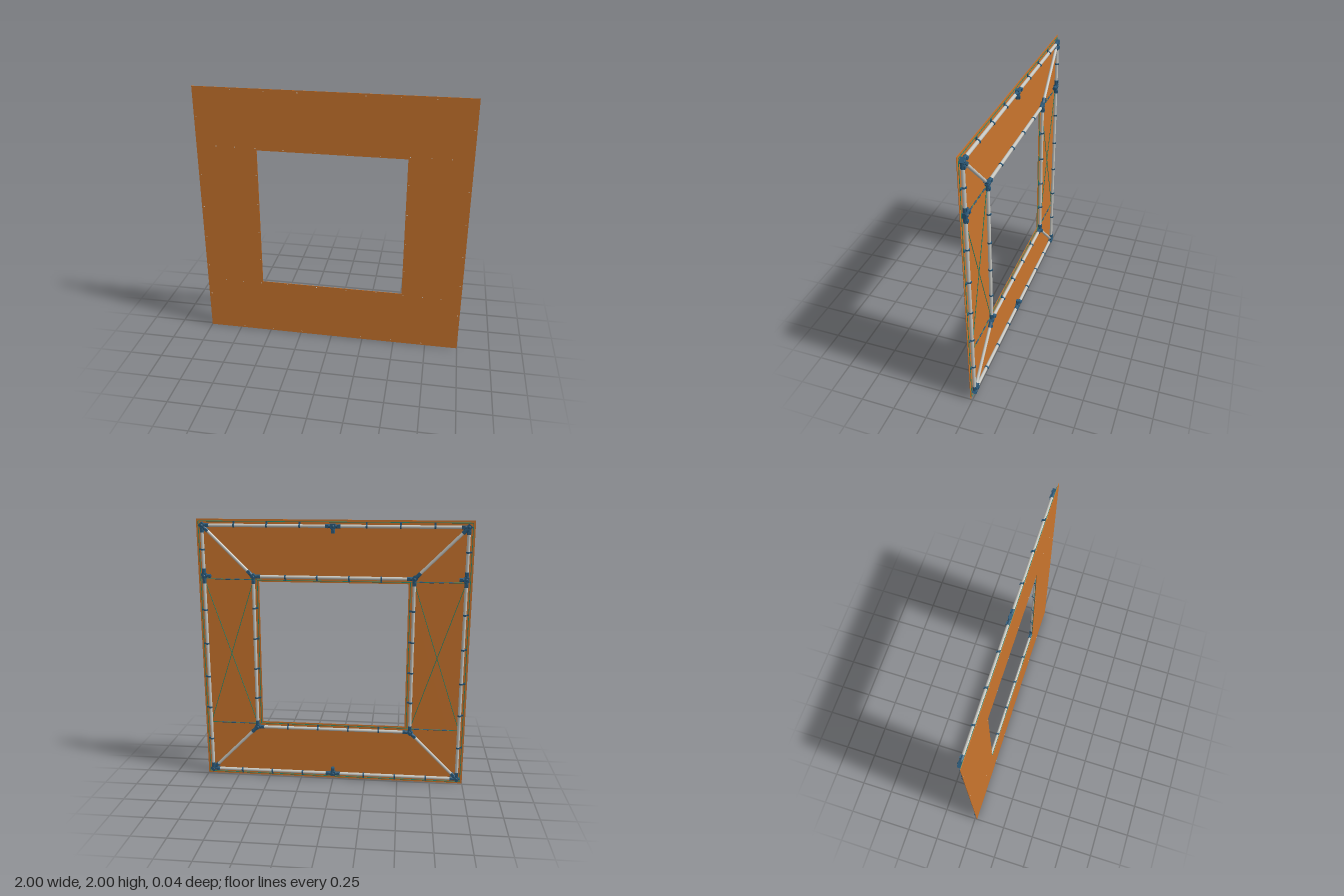
import * as THREE from 'three';

const mat = (name, color) => {
  const m = new THREE.MeshStandardMaterial({ color });
  m.name = name;
  return m;
};

export function createModel() {
  const root = new THREE.Group();
  root.name = 'framedPanel';
  const orange = mat('orange panel', 0xc9742d);
  const steel = mat('pale pipe', 0xc6c6c0);
  const blue = mat('blue fitting', 0x2b5a7a);
  const teal = mat('teal cord', 0x1f8a70);
  const white = mat('white eyelet', 0xf0ece4);

  const MID = 1, OUT = 0.955, IN = 0.587; // pipe offsets from the panel centre
  const v = (x, y, z = 0) => new THREE.Vector3(x, y + MID, z);
  const UP = new THREE.Vector3(0, 1, 0);

  const add = (name, geo, m, pos, parent = root) => {
    const mesh = new THREE.Mesh(geo, m);
    mesh.name = name;
    mesh.position.copy(pos);
    parent.add(mesh);
    return mesh;
  };
  // round bar between two points
  const rod = (name, a, b, r, m, sides = 14) => {
    const d = b.clone().sub(a);
    const mesh = add(name, new THREE.CylinderGeometry(r, r, d.length(), sides), m, a.clone().add(b).multiplyScalar(0.5));
    mesh.quaternion.setFromUnitVectors(UP, d.normalize());
    return mesh;
  };
  const box = (name, p, w, h, d, m) => add(name, new THREE.BoxGeometry(w, h, d), m, p);

  // square sheet with a square window
  const sheet = new THREE.Shape([[-1, -1], [1, -1], [1, 1], [-1, 1]].map(p => new THREE.Vector2(...p)));
  sheet.holes.push(new THREE.Path([[-0.547, -0.547], [-0.547, 0.547], [0.547, 0.547], [0.547, -0.547]].map(p => new THREE.Vector2(...p))));
  add('panel', new THREE.ExtrudeGeometry(sheet, { depth: 0.003, bevelEnabled: false }), orange, v(0, 0, 0.0145));

  // socket around a pipe, starting at p and running along direction (dx, dy)
  const socket = (p, dx, dy, from, to) => {
    const d = new THREE.Vector3(dx, dy, 0).normalize();
    const at = t => p.clone().addScaledVector(d, t);
    rod('socket', at(from), at(to), 0.0142, blue);
    rod('socketCollar', at(to - 0.016), at(to), 0.0145, blue);
    const lug = box('socketLug', at(to - 0.012).setZ(-0.0125), 0.022, 0.02, 0.01, blue);
    lug.rotation.z = Math.atan2(dy, dx);
  };
  // hub plate with a raised pointed boss
  const hub = (p, angle = 0) => {
    box('hub', p, 0.036, 0.036, 0.028, blue).rotation.z = angle;
    const boss = add('hubBoss', new THREE.CylinderGeometry(0.007, 0.013, 0.006, 6), blue, p.clone().setZ(-0.0155));
    boss.rotation.x = -Math.PI / 2;
  };

  // clamp on a pipe with a tab tied to the sheet; (ox, oy) points to the tie
  const clamp = (x, y, ox, oy) => {
    const p = v(x, y);
    const ax = new THREE.Vector3(oy ? 0.006 : 0, ox ? 0.006 : 0, 0);
    rod('clampRing', p.clone().sub(ax), p.clone().add(ax), 0.0143, blue, 12);
    box('clampTab', v(x + ox * 0.016, y + oy * 0.016, 0.008), ox ? 0.03 : 0.012, oy ? 0.03 : 0.012, 0.008, blue);
    box('clampLug', p.clone().setZ(-0.0145), 0.012, 0.012, 0.006, blue);
    box('eyelet', v(x + ox * 0.028, y + oy * 0.028, 0.0175), 0.008, 0.005, 0.0006, white);
  };

  // outer and inner pipe squares
  for (const s of [-1, 1]) {
    for (const [name, r] of [['outer', OUT], ['inner', IN]]) {
      rod(name + 'RailPipe', v(-r, s * r), v(r, s * r), 0.0122, steel);
      rod(name + 'SidePipe', v(s * r, -r), v(s * r, r), 0.0122, steel);
    }

    // clamps along the pipes
    for (const t of [0.24, 0.48, 0.72]) for (const k of [-1, 1]) clamp(k * t, s * OUT, 0, s);
    for (const y of [0.78, 0.33, 0.07, -0.19, -0.44, -0.7]) clamp(s * OUT, y, s, 0);
    for (const t of [-0.35, -0.117, 0.117, 0.35]) {
      clamp(t, s * IN, 0, -s);
      clamp(s * IN, t, -s, 0);
    }

    // tee fittings at the middle of the top and bottom rails
    const mid = v(0, s * OUT);
    hub(mid);
    socket(mid, 1, 0, 0, 0.055);
    socket(mid, -1, 0, 0, 0.055);
    socket(mid, 0, -s, 0, 0.05);

    // tee fittings on the upper sides
    const side = v(s * OUT, IN);
    hub(side);
    socket(side, 0, 1, 0, 0.055);
    socket(side, 0, -1, 0, 0.055);
    socket(side, -s, 0, 0, 0.05);

    // corners: diagonal strut, sockets and hubs
    for (const k of [-1, 1]) {
      const o = v(s * OUT, k * OUT), i = v(s * IN, k * IN);
      rod('diagonalStrut', o, i, 0.0115, steel);
      hub(o, Math.PI / 4);
      hub(i, Math.PI / 4);
      socket(o, -s, 0, 0, 0.052);
      socket(o, 0, -k, 0, 0.052);
      socket(o, -s, -k, 0, 0.06);
      socket(i, -s, 0, 0, 0.052);
      socket(i, 0, -k, 0, 0.052);
      socket(i, s, k, 0, 0.06);

      // side cords with toggles and cross bracing
      rod('sideCord', v(s * 0.56, k * 0.563, 0.009), v(s * 0.97, k * 0.563, 0.009), 0.0025, teal, 6);
      for (const x of [0.64, 0.71, 0.78, 0.85]) {
        rod('cordToggle', v(s * (x - 0.018), k * 0.563, 0.008), v(s * (x + 0.018), k * 0.563, 0.008), 0.005, blue, 8);
      }
      for (const x of [0.56, 0.71, 0.85]) box('eyelet', v(s * x, k * 0.563, 0.0175), 0.008, 0.005, 0.0006, white);
      rod('crossCord', v(s * IN, k * 0.56, 0.006), v(s * OUT, -k * 0.56, 0.006), 0.0025, teal, 6);
    }

    // lacing cords along the sheet edges
    for (const r of [0.984, 0.56]) {
      rod('railLacing', v(-r, s * r, 0.0115), v(r, s * r, 0.0115), 0.0025, teal, 6);
      rod('sideLacing', v(s * r, -r, 0.0115), v(s * r, r, 0.0115), 0.0025, teal, 6);
    }
  }
  return root;
}
